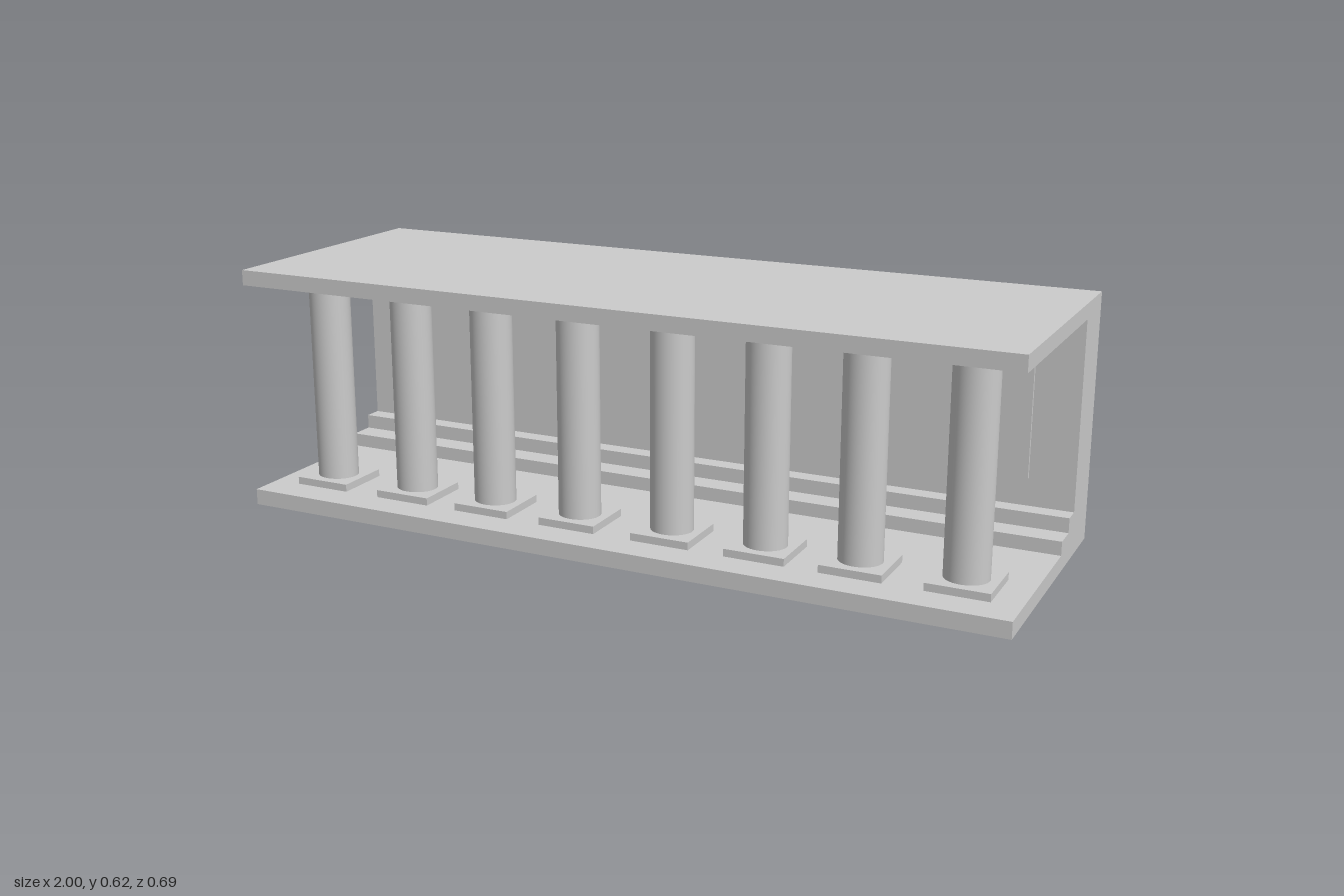
import * as THREE from 'three';

const material = new THREE.MeshStandardMaterial({ color: 0xcccccc });

export function createModel() {
  const group = new THREE.Group();
  group.name = 'colonnade';

  const add = (parent, name, geometry, x, y, z) => {
    const mesh = new THREE.Mesh(geometry, material);
    mesh.name = name;
    mesh.position.set(x, y, z);
    parent.add(mesh);
    return mesh;
  };

  // Floor, two steps, back wall and roof as one section (z, y) run along x
  const section = new THREE.Shape([
    [0.345, 0], [0.345, 0.041], [-0.09, 0.041], [-0.09, 0.076],
    [-0.155, 0.076], [-0.155, 0.113], [-0.202, 0.113], [-0.202, 0.583],
    [0.345, 0.583], [0.345, 0.622], [-0.345, 0.622], [-0.345, 0],
  ].map(([z, y]) => new THREE.Vector2(z, y)));
  const shell = new THREE.ExtrudeGeometry(section, { depth: 2, bevelEnabled: false });
  shell.rotateY(-Math.PI / 2);
  add(group, 'floorStepsWallAndRoof', shell, 1, 0, 0);

  // Raised panels on the back wall
  const panel = new THREE.BoxGeometry(0.602, 0.328, 0.02);
  for (const side of [-1, 1]) {
    add(group, side > 0 ? 'leftWallPanel' : 'rightWallPanel', panel, side * 0.586, 0.347, -0.203);
  }

  // Row of columns, each with a square base and cap
  const shaft = new THREE.CylinderGeometry(0.0535, 0.0535, 0.503, 48, 1, true);
  shaft.scale(1, 1, 0.92);
  const plate = new THREE.BoxGeometry(0.152, 0.02, 0.147);
  for (const offset of [0.126, 0.369, 0.604, 0.853]) {
    for (const side of [-1, 1]) {
      const column = new THREE.Group();
      column.name = 'column';
      column.position.set(side * offset, 0, 0.186);
      add(column, 'columnBase', plate, 0, 0.05, 0);
      add(column, 'columnShaft', shaft, 0, 0.3115, 0);
      add(column, 'columnCap', plate, 0, 0.573, 0);
      group.add(column);
    }
  }
  return group;
}
